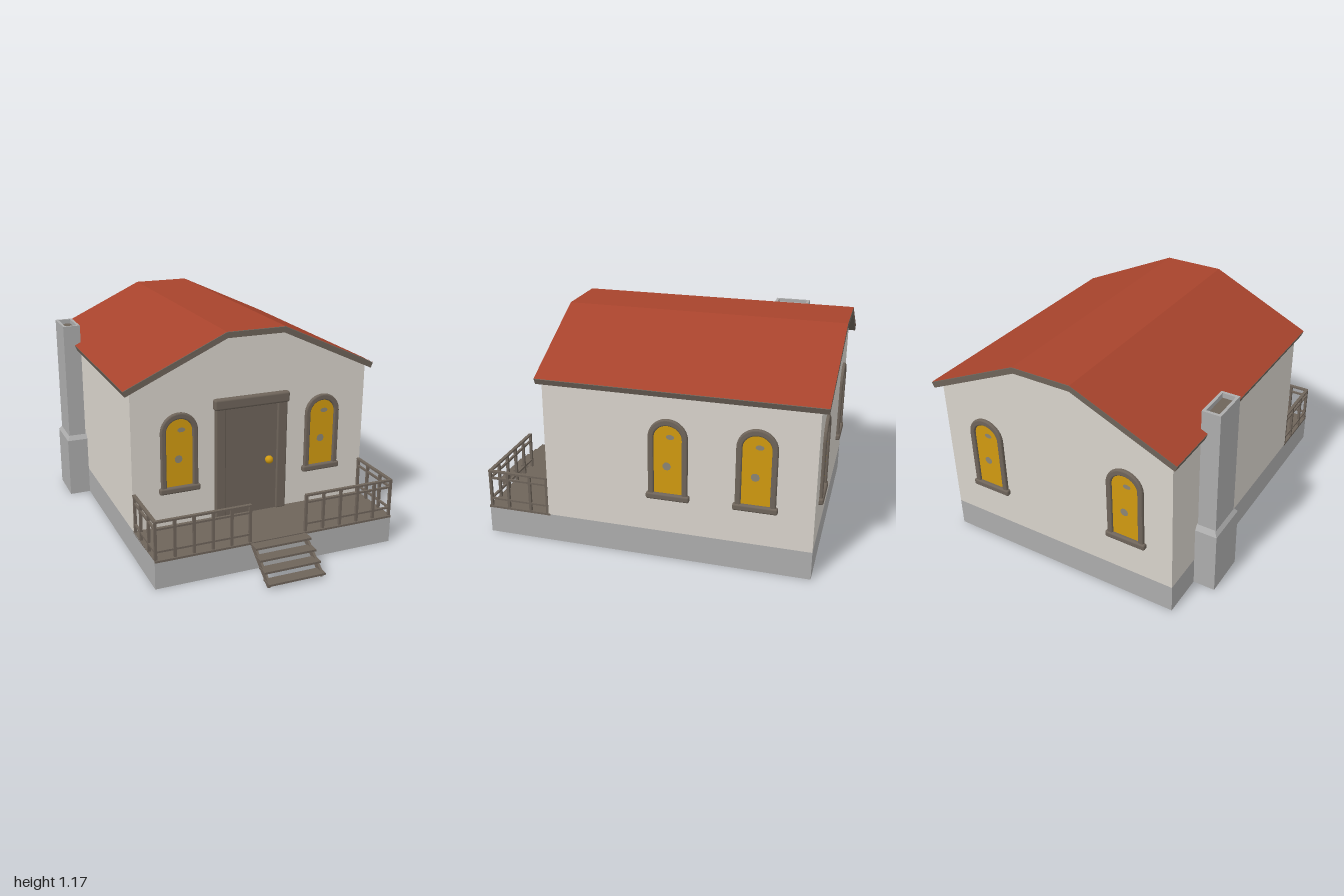
import * as THREE from 'three';
import { RoundedBoxGeometry } from 'three/addons/geometries/RoundedBoxGeometry.js';

const paint = (name, color, side = THREE.FrontSide) => {
  const m = new THREE.MeshStandardMaterial({ color, side });
  m.name = name;
  return m;
};

export function createModel() {
  const model = new THREE.Group();
  model.name = 'cottage';
  const plaster = paint('plaster', 0xd8d3cb, THREE.DoubleSide);
  const stone = paint('stone', 0xacacac, THREE.DoubleSide);
  const tile = paint('roofTile', 0xa7432c, THREE.DoubleSide);
  const wood = paint('wood', 0x6e645a);
  const gold = paint('gold', 0xd09a10);
  const maroon = paint('maroon', 0x4a0c22);
  const smoke = paint('paneSpot', 0x8a8474);

  const add = (name, geo, mat, x = 0, y = 0, z = 0, parent = model) => {
    const m = new THREE.Mesh(geo, mat);
    m.name = name;
    m.position.set(x, y, z);
    parent.add(m);
    return m;
  };
  // Box given by its extents on each axis
  const block = (name, mat, x0, x1, y0, y1, z0, z1, parent = model, round = 0) => {
    const s = [x1 - x0, y1 - y0, z1 - z0];
    const geo = round ? new RoundedBoxGeometry(...s, 3, round) : new THREE.BoxGeometry(...s);
    return add(name, geo, mat, (x0 + x1) / 2, (y0 + y1) / 2, (z0 + z1) / 2, parent);
  };
  const group = (name) => {
    const g = new THREE.Group();
    g.name = name;
    model.add(g);
    return g;
  };
  const polygon = (pts) => new THREE.Shape(pts.map((p) => new THREE.Vector2(...p)));

  const L = -0.63, R = 0.707, BACK = -0.95, FRONT = 0.44, PORCH = 0.78, FLOOR = 0.152;
  const MID = (L + R) / 2;

  // Open sheet between two plan points
  const sheet = (name, mat, a, b, y0, y1) => {
    const w = Math.hypot(b[0] - a[0], b[1] - a[1]);
    const m = add(name, new THREE.PlaneGeometry(w, y1 - y0), mat,
      (a[0] + b[0]) / 2, (y0 + y1) / 2, (a[1] + b[1]) / 2);
    m.rotation.y = -Math.atan2(b[1] - a[1], b[0] - a[0]);
  };

  // Foundation skirt, open underneath
  const plan = [[L, PORCH], [R, PORCH], [R, BACK], [L, BACK]];
  plan.forEach((p, i) => sheet('foundation', stone, p, plan[(i + 1) % 4], 0, FLOOR));
  block('porchFloor', wood, L, R, FLOOR - 0.008, FLOOR + 0.003, FRONT - 0.01, PORCH + 0.004);

  // Walls and gables
  const gable = polygon([[L, FLOOR], [R, FLOOR], [R, 0.922], [0.2, 1.155], [-0.12, 1.155], [L, 0.922]]);
  add('frontWall', new THREE.ShapeGeometry(gable), plaster, 0, 0, FRONT);
  const backWall = add('backWall', new THREE.ShapeGeometry(gable), plaster, 2 * MID, 0, BACK);
  backWall.rotation.y = Math.PI;
  backWall.scale.x = 1;
  sheet('leftWall', plaster, [R, FRONT], [R, BACK], FLOOR, 0.922);
  sheet('rightWall', plaster, [L, BACK], [L, FRONT], FLOOR, 0.922);

  // Roof: wooden slab, tile covering and tile-coloured lining
  const eaveToEave = [[-0.67, 0.922], [-0.125, 1.172], [0.2, 1.172], [0.743, 0.922]];
  const overhang = (geo) => {
    const p = geo.attributes.position;
    for (let i = 0; i < p.count; i++) {
      const t = THREE.MathUtils.clamp((p.getY(i) - 0.9) / 0.25, 0, 1);
      p.setZ(i, p.getZ(i) > 0.5 ? 0.463 + 0.014 * t : -0.987 - 0.013 * t);
    }
    geo.computeVertexNormals();
    return geo;
  };
  const under = [[0.732, 0.893], [0.195, 1.142], [-0.12, 1.142], [-0.659, 0.893]];
  add('roofSlab', overhang(new THREE.ExtrudeGeometry(polygon([...under].reverse().concat([...eaveToEave].reverse())),
    { depth: 1, bevelEnabled: false })), wood);
  const strip = (line, dy) => {
    const pos = [];
    for (let i = 0; i < line.length - 1; i++) {
      const [a, b] = [line[i], line[i + 1]];
      for (const [p, z] of [[a, 1], [b, 1], [b, 0], [a, 1], [b, 0], [a, 0]]) pos.push(p[0], p[1] + dy, z);
    }
    const g = new THREE.BufferGeometry();
    g.setAttribute('position', new THREE.Float32BufferAttribute(pos, 3));
    return overhang(g);
  };
  add('roofTiles', strip(eaveToEave, 0.003), tile);
  const lining = strip([[L, 0.903], [-0.12, 1.139], [0.195, 1.139], [R, 0.901]], 0);
  const lp = lining.attributes.position;
  for (let i = 0; i < lp.count; i++) lp.setZ(i, lp.getZ(i) > 0 ? FRONT : BACK);
  add('roofLining', lining, tile);

  // Arched windows
  const arch = (half, y0, spring, top) => {
    const s = new THREE.Shape();
    s.moveTo(-half, y0);
    s.lineTo(half, y0);
    s.lineTo(half, spring);
    s.absellipse(0, spring, half, top - spring, 0, Math.PI, false);
    s.lineTo(-half, y0);
    return s;
  };
  const frameShape = arch(0.094, 0.362, 0.672, 0.766);
  frameShape.holes.push(arch(0.08, 0.363, 0.672, 0.748));
  const frameGeo = new THREE.ExtrudeGeometry(frameShape,
    { depth: 0.006, bevelThickness: 0.009, bevelSize: 0.008, bevelSegments: 3, curveSegments: 10 });
  const paneGeo = new THREE.ShapeGeometry(arch(0.08, 0.365, 0.672, 0.75), 10);
  const spotGeo = new THREE.CircleGeometry(0.022, 9);
  const addWindow = (x, z, turn) => {
    const w = group('window');
    w.position.set(x, 0, z);
    w.rotation.y = turn;
    add('windowFrame', frameGeo, wood, 0, 0, 0.002, w);
    add('windowPane', paneGeo, gold, 0, 0, 0.005, w);
    block('windowSill', wood, -0.112, 0.112, 0.338, 0.373, -0.01, 0.023, w, 0.01);
    add('paneSpot', spotGeo, smoke, -0.005, 0.522, 0.007, w);
    add('paneSpot', spotGeo, smoke, 0.012, 0.68, 0.007, w).scale.set(1, 0.6, 1);
  };
  for (const x of [-0.375, 0.45]) {
    addWindow(x, FRONT, 0);
    addWindow(x, BACK, Math.PI);
  }
  for (const z of [-0.217, -0.66]) addWindow(R, z, Math.PI / 2);

  // Door with jambs, lintel and knob
  const door = group('door');
  block('doorPanel', wood, -0.125, 0.18, FLOOR, 0.77, FRONT - 0.005, 0.452, door);
  block('doorJamb', wood, -0.177, -0.12, FLOOR, 0.77, FRONT - 0.005, 0.462, door, 0.008);
  block('doorJamb', wood, 0.176, 0.234, FLOOR, 0.77, FRONT - 0.005, 0.462, door, 0.008);
  block('doorLintel', wood, -0.186, 0.243, 0.76, 0.82, FRONT - 0.01, 0.47, door, 0.012);
  block('doorBack', maroon, -0.125, 0.18, FLOOR, 0.77, FRONT - 0.012, FRONT - 0.006, door);
  add('doorKnob', new THREE.SphereGeometry(0.022, 20, 14), gold, 0.124, 0.453, 0.474, door);

  // Porch railing
  const railing = group('railing');
  const rails = [[0.352, 0.362, 0.009], [0.313, 0.323, 0.006], [0.193, 0.203, 0.006]];
  const fz = 0.77;
  for (const [x0, x1] of [[L + 0.008, -0.12], [0.195, R - 0.008]]) {
    for (const [y0, y1, h] of rails) block('railBar', wood, x0 - 0.005, x1 + 0.005, y0, y1, fz - h, fz + h, railing);
    for (let i = 0; i <= 5; i++) {
      const x = x0 + ((x1 - x0) * i) / 5;
      block('railPost', wood, x - 0.007, x + 0.007, FLOOR, 0.357, fz - 0.007, fz + 0.007, railing);
    }
  }
  for (const x of [L + 0.008, R - 0.008]) {
    for (const [y0, y1, h] of rails) block('railBar', wood, x - h, x + h, y0, y1, FRONT, fz, railing);
    for (const z of [0.448, 0.545, 0.67])
      block('railPost', wood, x - 0.007, x + 0.007, FLOOR, 0.357, z - 0.007, z + 0.007, railing);
  }

  // Front steps on two slanted stringers
  const steps = group('steps');
  for (let i = 0; i < 4; i++) {
    const z = 0.78 + i * 0.052, y = 0.15 - i * 0.04;
    block('stepTread', wood, -0.12, 0.193, y - 0.011, y, z, z + 0.064, steps);
  }
  const side = polygon([[0.78, 0.152], [0.78, 0.125], [0.962, 0], [0.978, 0], [0.978, 0.03], [0.81, 0.145]]);
  for (const x of [-0.115, 0.176]) {
    const s = add('stepStringer', new THREE.ExtrudeGeometry(side, { depth: 0.012, bevelEnabled: false }),
      wood, x + 0.012, 0, 0, steps);
    s.rotation.y = -Math.PI / 2;
  }

  // Chimney: wide foot, tapered shoulder and hollow stack
  const chimney = group('chimney');
  block('chimneyFoot', stone, -0.748, -0.628, 0, 0.345, -0.72, -0.48, chimney);
  const shoulder = new THREE.BoxGeometry(0.12, 0.026, 0.24);
  const sp = shoulder.attributes.position;
  for (let i = 0; i < sp.count; i++) {
    if (sp.getY(i) < 0) continue;
    if (sp.getX(i) < 0) sp.setX(i, sp.getX(i) + 0.018);
    sp.setZ(i, sp.getZ(i) * 0.84);
  }
  shoulder.computeVertexNormals();
  add('chimneyShoulder', shoulder, stone, -0.688, 0.358, -0.6, chimney);
  const rect = (w, d) => [[-w, -d], [w, -d], [w, d], [-w, d]];
  const stack = polygon(rect(0.049, 0.1));
  stack.holes.push(polygon(rect(0.034, 0.084)));
  add('chimneyStack', new THREE.ExtrudeGeometry(stack, { depth: 0.68, bevelEnabled: false }),
    stone, -0.684, 0.36, -0.6, chimney).rotation.x = -Math.PI / 2;
  block('chimneyFlue', wood, -0.72, -0.648, 0.98, 1.015, -0.686, -0.514, chimney);

  return model;
}
